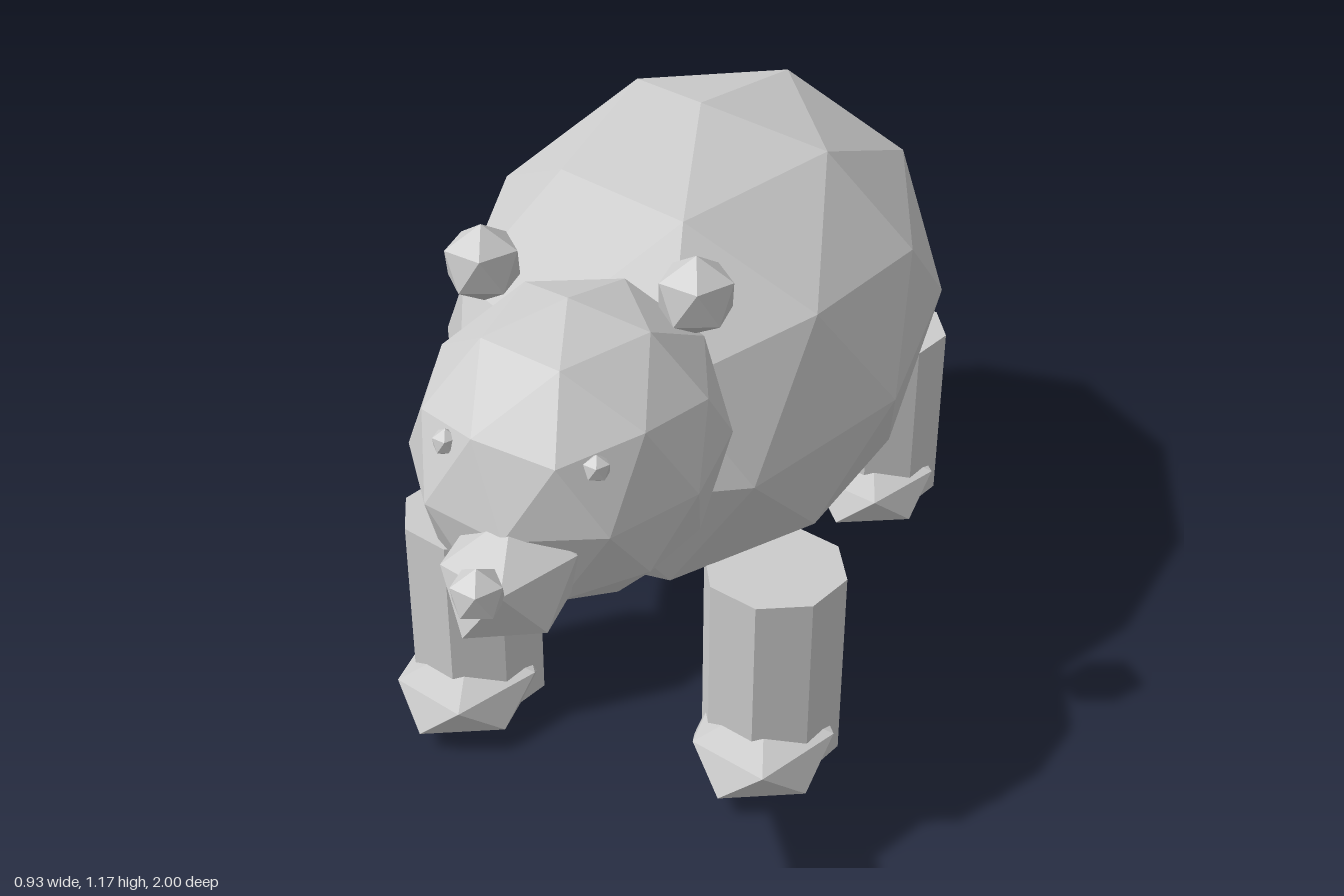
import * as THREE from 'three';

const grey = new THREE.MeshStandardMaterial({ color: 0xcccccc, flatShading: true });
grey.name = 'grey';

// Icosphere with its poles on y and one upper-ring corner on +x
function ico(name, detail, radii, position) {
  const geometry = new THREE.IcosahedronGeometry(1, detail);
  geometry.rotateX(-Math.atan((1 + Math.sqrt(5)) / 2));
  geometry.rotateY(Math.PI / 2);
  geometry.scale(...radii);
  geometry.computeVertexNormals();
  const mesh = new THREE.Mesh(geometry, grey);
  mesh.name = name;
  mesh.position.set(...position);
  return mesh;
}

// Eight-sided leg with a flattened foot pushed forward
function leg(name, x, z) {
  const group = new THREE.Group();
  group.name = name;
  const shaft = new THREE.Mesh(new THREE.CylinderGeometry(0.14, 0.14, 0.408, 8), grey);
  shaft.name = name + 'Shaft';
  shaft.position.y = 0.247;
  group.add(shaft, ico(name + 'Foot', 0, [0.157, 0.08, 0.198], [0, 0.08, 0.05]));
  group.position.set(x, 0, z);
  return group;
}

export function createModel() {
  const bear = new THREE.Group();
  bear.name = 'bear';

  // Body, head and muzzle
  bear.add(
    ico('body', 1, [0.489, 0.46, 0.75], [0, 0.682, -0.25]),
    ico('head', 1, [0.275, 0.275, 0.33], [0, 0.835, 0.52]),
    ico('snout', 0, [0.125, 0.107, 0.17], [0, 0.755, 0.805]),
    ico('nose', 0, [0.049, 0.049, 0.049], [0, 0.81, 0.958])
  );

  // Paired ears, eyes and legs
  for (const [side, s] of [['left', 1], ['right', -1]]) {
    bear.add(
      ico(side + 'Ear', 0, [0.074, 0.074, 0.074], [s * 0.193, 1.095, 0.42]),
      ico(side + 'Eye', 0, [0.025, 0.025, 0.025], [s * 0.13, 0.945, 0.756]),
      leg(side + 'FrontLeg', s * 0.309, 0.268),
      leg(side + 'BackLeg', s * 0.309, -0.698)
    );
  }
  return bear;
}
